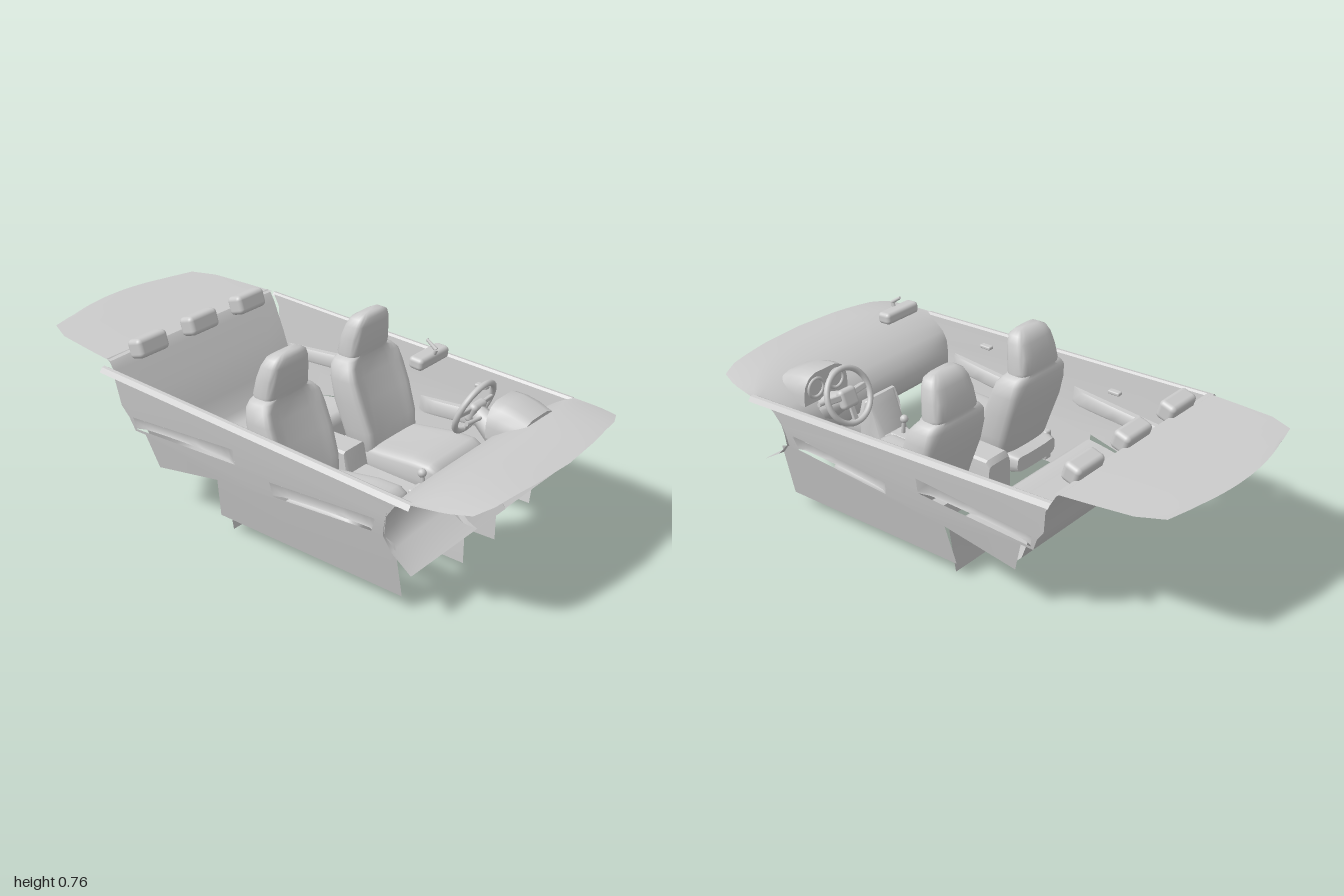
import * as THREE from 'three';
import { toCreasedNormals } from 'three/addons/utils/BufferGeometryUtils.js';
import { RoundedBoxGeometry } from 'three/addons/geometries/RoundedBoxGeometry.js';

const material = new THREE.MeshStandardMaterial({ color: 0xcccccc, side: THREE.DoubleSide });
const lerp = THREE.MathUtils.lerp;

// Skin a list of cross-sections (each a list of [x, y, z])
function loft(sections, { closed = false, capStart = false, capEnd = false, crease = 0.7 } = {}) {
  const n = sections[0].length, pos = sections.flat(2), index = [];
  for (let i = 0; i < sections.length - 1; i++) {
    for (let j = 0; j < (closed ? n : n - 1); j++) {
      const a = i * n + j, b = i * n + (j + 1) % n;
      index.push(a, b, a + n, b, b + n, a + n);
    }
  }
  const cap = (row, flip) => {
    const c = pos.length / 3, ring = sections[row];
    for (let k = 0; k < 3; k++) pos.push(ring.reduce((s, p) => s + p[k], 0) / n);
    for (let j = 0; j < n; j++) {
      const a = row * n + j, b = row * n + (j + 1) % n;
      index.push(c, flip ? b : a, flip ? a : b);
    }
  };
  if (capStart) cap(0, true);
  if (capEnd) cap(sections.length - 1, false);
  const g = new THREE.BufferGeometry();
  g.setAttribute('position', new THREE.Float32BufferAttribute(pos, 3));
  g.setIndex(index);
  return toCreasedNormals(g, crease);
}

// Rounded-rectangle ring as [a, b] pairs in -1..1
const ring = Array.from({ length: 28 }, (_, i) => {
  const t = (i / 28) * Math.PI * 2, f = (v) => Math.sign(v) * Math.abs(v) ** 0.5;
  return [f(Math.cos(t)), f(Math.sin(t))];
});
const steps = (n) => Array.from({ length: n + 1 }, (_, i) => i / n);

// Piecewise-linear lookup in [[x, value], ...]
const lookup = (table, x) => {
  const i = Math.max(1, table.findIndex(([k]) => x <= k + 1e-6));
  const [a, b] = [table[i - 1], table[i]];
  return lerp(a[1], b[1], (x - a[0]) / (b[0] - a[0]));
};

export function createModel() {
  const model = new THREE.Group();
  const add = (name, geometry, x = 0, y = 0, z = 0, parent = model) => {
    const m = new THREE.Mesh(geometry, material);
    m.name = name;
    m.position.set(x, y, z);
    parent.add(m);
    return m;
  };
  const rod = (name, a, b, r0, r1, sides = 10) => {
    const p = new THREE.Vector3(...a), d = new THREE.Vector3(...b).sub(p);
    const m = add(name, new THREE.CylinderGeometry(r1, r0, d.length(), sides));
    m.position.copy(p).addScaledVector(d, 0.5);
    m.quaternion.setFromUnitVectors(new THREE.Vector3(0, 1, 0), d.normalize());
  };

  // Dashboard: one sheet sloping back and down from the nose, then tucking forward
  const nose = [[0, 0.997], [0.18, 0.985], [0.36, 0.958], [0.43, 0.928], [0.46, 0.85], [0.48, 0.73]];
  // Rows: [z, y] at the middle, [z, y] at the sides, half width
  const dashRows = [[0.997, 0.485, 0.73, 0.455, 0.48], [0.88, 0.493, 0.725, 0.453, 0.476], [0.78, 0.482, 0.71, 0.445, 0.466],
    [0.7, 0.452, 0.68, 0.426, 0.457], [0.64, 0.415, 0.65, 0.405, 0.451], [0.6, 0.375, 0.628, 0.375, 0.447],
    [0.585, 0.33, 0.617, 0.33, 0.443], [0.585, 0.285, 0.612, 0.285, 0.44], [0.63, 0.24, 0.65, 0.24, 0.445],
    [0.73, 0.19, 0.73, 0.19, 0.452]];
  add('dashboard', loft(dashRows.map(([z0, y0, z1, y1, w], i) => steps(48).map((u) => {
    const s = Math.sin((u - 0.5) * Math.PI), k = s ** 4;
    return [w * s, lerp(y0, y1, k), i === 0 ? lookup(nose, Math.abs(w * s)) : lerp(z0, z1, k)];
  })), { crease: 1.2 }));

  // Gauge hood passing through the dashboard, dials, steering column and wheel
  const hood = [[0.61, 0.515, 0.108], [0.65, 0.513, 0.11], [0.7, 0.502, 0.108], [0.75, 0.482, 0.102]];
  add('gaugeHood', loft(hood.map(([z, top, w]) =>
    [[-1, 0], [1, 0], [1, 0.35], [0.93, 0.65], [0.75, 0.88], [0.45, 1], [-0.45, 1], [-0.75, 0.88], [-0.93, 0.65], [-1, 0.35]]
      .map(([p, q]) => [0.235 + p * w, lerp(0.4, top, q), z])),
  { closed: true, capStart: true, capEnd: true }));
  for (const dx of [-0.05, 0.05]) {
    add('dial', new THREE.TorusGeometry(0.036, 0.006, 8, 24), 0.235 + dx, 0.457, 0.608);
  }
  rod('steeringColumn', [0.23, 0.425, 0.51], [0.23, 0.355, 0.62], 0.032, 0.055, 8);
  rod('columnStalk', [0.235, 0.42, 0.545], [0.12, 0.43, 0.54], 0.006, 0.008, 8);
  rod('columnStalk', [0.235, 0.42, 0.545], [0.34, 0.43, 0.54], 0.006, 0.008, 8);
  const wheel = new THREE.Group();
  wheel.name = 'steeringWheel';
  wheel.position.set(0.232, 0.44, 0.497);
  wheel.rotation.x = 0.38;
  model.add(wheel);
  add('rim', new THREE.TorusGeometry(0.101, 0.011, 10, 40), 0, 0, 0, wheel);
  add('hub', new RoundedBoxGeometry(0.08, 0.075, 0.035, 3, 0.016), 0, -0.008, 0.01, wheel);
  for (const a of [0.1, Math.PI - 0.1, -Math.PI / 2]) {
    const spoke = add('spoke', new RoundedBoxGeometry(0.08, 0.024, 0.012, 2, 0.005),
      Math.cos(a) * 0.06, Math.sin(a) * 0.06, 0.005, wheel);
    spoke.rotation.z = a;
  }

  // Centre console: open channel [z, top, half width at top, half width at bottom]
  const tunnel = [[-0.01, 0.25, 0.055, 0.06], [0.005, 0.27, 0.057, 0.06], [0.16, 0.27, 0.058, 0.06],
    [0.18, 0.19, 0.055, 0.062], [0.42, 0.18, 0.055, 0.066], [0.5, 0.2, 0.06, 0.075],
    [0.55, 0.3, 0.068, 0.088], [0.57, 0.33, 0.075, 0.092], [0.6, 0.33, 0.08, 0.094], [0.69, 0.225, 0.08, 0.096]];
  add('centreConsole', loft(tunnel.map(([z, t, w, b]) => [
    [-b, 0.05, z], [-b, Math.min(t - 0.03, 0.22), z], [-w, t - 0.008, z], [-w + 0.01, t, z],
    [w - 0.01, t, z], [w, t - 0.008, z], [b, Math.min(t - 0.03, 0.22), z], [b, 0.05, z]]),
  { capStart: true, crease: 0.5 }));
  add('centreStack', loft([[0.33, 0.08, 0.61], [0.26, 0.105, 0.65], [0.215, 0.11, 0.7], [0.19, 0.1, 0.732]].map(([y, w, z]) =>
    [[-w, y, 0.57], [-w, y, z - 0.015], [-w + 0.015, y, z], [w - 0.015, y, z], [w, y, z - 0.015], [w, y, 0.57]]),
  { capStart: true, crease: 0.5 }));
  add('shifterBase', new RoundedBoxGeometry(0.07, 0.02, 0.08, 2, 0.008), 0, 0.195, 0.455);
  rod('shifter', [0, 0.19, 0.46], [0, 0.26, 0.45], 0.008, 0.008);
  add('shifterKnob', new THREE.SphereGeometry(0.016, 14, 10), 0, 0.265, 0.45);

  // Front seats: back sections [y, z, half width, half depth, bolster]
  const back = [[0.15, 0.12, 0.11, 0.05, 0], [0.2, 0.115, 0.138, 0.07, 0.03], [0.28, 0.095, 0.147, 0.075, 0.045],
    [0.38, 0.06, 0.156, 0.072, 0.05], [0.46, 0.035, 0.154, 0.064, 0.05], [0.505, 0.025, 0.146, 0.057, 0.045],
    [0.525, 0.022, 0.13, 0.05, 0.02], [0.534, 0.022, 0.108, 0.046, 0], [0.545, 0.022, 0.108, 0.05, 0],
    [0.6, 0.03, 0.102, 0.047, 0], [0.645, 0.04, 0.093, 0.042, 0], [0.672, 0.047, 0.079, 0.035, 0],
    [0.685, 0.053, 0.055, 0.018, 0]];
  // Cushion sections [z, bottom, top, half width]
  const cushion = [[0.46, 0.17, 0.21, 0.13], [0.45, 0.135, 0.235, 0.147], [0.42, 0.122, 0.25, 0.155],
    [0.34, 0.12, 0.25, 0.155], [0.22, 0.12, 0.235, 0.146], [0.08, 0.12, 0.22, 0.135], [0, 0.14, 0.2, 0.11]];
  for (const s of [-1, 1]) {
    const seat = new THREE.Group();
    seat.name = s > 0 ? 'leftSeat' : 'rightSeat';
    seat.position.x = s * 0.226;
    model.add(seat);
    add('backrestAndHeadrest', loft(back.map(([y, z, w, d, b]) =>
      ring.map(([p, q]) => [p * w, y, z + q * d + (q > 0 ? b * (Math.abs(p) ** 4 - 0.3) * q : 0)])),
    { closed: true, capStart: true, capEnd: true, crease: 0.9 }), 0, 0, 0, seat);
    add('cushion', loft(cushion.map(([z, lo, hi, w]) =>
      ring.map(([p, q]) => [p * w, (lo + hi) / 2 + q * (hi - lo) / 2 + (q > 0 ? 0.02 * p ** 4 * q : 0), z])),
    { closed: true, capStart: true, capEnd: true, crease: 0.9 }), 0, 0, 0, seat);
    add('seatSkirt', new RoundedBoxGeometry(0.035, 0.12, 0.36, 2, 0.008), s * 0.115, 0.155, 0.21, seat);
  }

  // Doors: panel outline in [z, y], leaning outward with height and toward the front
  const outline = [[0.75, 0.452], [0.66, 0.41], [0.625, 0.36], [0.61, 0.28], [0.65, 0.265], [0.65, 0.05],
    [-0.13, 0.06], [-0.11, 0.22], [-0.4, 0.165], [-0.44, 0.29], [-0.49, 0.29], [-0.51, 0.34],
    [-0.54, 0.38], [-0.555, 0.48], [-0.58, 0.52]];
  const slots = [[[0.58, 0.335], [0.14, 0.305], [0.15, 0.25], [0.56, 0.28]],
    [[-0.01, 0.38], [-0.49, 0.345], [-0.48, 0.3], [-0.01, 0.32]]];
  const toPath = (pts, Type) => new Type(pts.map((p) => new THREE.Vector2(...p)));
  const lean = (y, z) => 0.374 + 0.255 * (y - 0.05) - 0.187 * (y - 0.05) ** 2 + 0.014 * z;
  for (const s of [-1, 1]) {
    const door = new THREE.Group();
    door.name = s > 0 ? 'leftDoor' : 'rightDoor';
    model.add(door);
    const shape = toPath(outline, THREE.Shape);
    shape.holes = slots.map((h) => toPath(h, THREE.Path));
    const panel = new THREE.ShapeGeometry(shape), p = panel.attributes.position;
    for (let i = 0; i < p.count; i++) {
      const z = p.getX(i), y = p.getY(i);
      p.setXYZ(i, s * lean(y, z), y, z);
    }
    panel.computeVertexNormals();
    add('doorPanel', panel, 0, 0, 0, door);
    // Rolled sill along the top edge
    add('doorSill', loft(steps(10).map((t) => {
      const z = lerp(0.74, -0.59, t), y = lerp(0.453, 0.52, t), k = lerp(0, -0.015, t);
      return [[lean(y, z), y - 0.005], [0.468 + k, y + 0.006], [0.48 + k, y + 0.004], [0.492 + k, y - 0.012]]
        .map(([x, h]) => [s * x, h, z]);
    })), 0, 0, 0, door);
    // Armrest shell: inward from the slot's top edge, then down behind the opening
    for (const [a, b, c, d] of slots) {
      add('armrest', loft(steps(12).map((t) => {
        const z = lerp(a[0], b[0], t), y = lerp(a[1], b[1], t), low = lerp(d[1], c[1], t);
        const inset = 0.026 * Math.sin(Math.PI * t) ** 0.25;
        return [[0, y], [0.8, y - 0.001], [1, y - 0.01], [1, low + 0.008], [0.8, low]]
          .map(([f, h]) => [s * (lean(h, z) - f * inset), h, z]);
      })), 0, 0, 0, door);
      add('doorPull', new RoundedBoxGeometry(0.026, 0.014, 0.05, 2, 0.005),
        s * 0.425, 0.42, lerp(a[0], b[0], 0.4), door);
    }
  }

  // Rear bench: backrest, cushion and skirt in one sheet [z, y, half width]
  const bench = [[-0.6, 0.542, 0.43], [-0.585, 0.53, 0.43], [-0.568, 0.5, 0.43], [-0.505, 0.4, 0.41],
    [-0.45, 0.29, 0.395], [-0.42, 0.215, 0.388], [-0.39, 0.185, 0.385], [-0.3, 0.19, 0.385],
    [-0.18, 0.21, 0.383], [-0.125, 0.217, 0.382], [-0.105, 0.205, 0.38], [-0.1, 0.18, 0.375], [-0.1, 0, 0.345]];
  add('rearBench', loft(bench.map(([z, y, w]) => steps(8).map((u) => [w * (2 * u - 1), y, z])), { crease: 3 }));
  for (const x of [-0.263, 0, 0.263]) {
    add('rearHeadrest', new RoundedBoxGeometry(0.145, 0.072, 0.068, 4, 0.018), x, 0.552, -0.562).rotation.x = -0.3;
  }

  // Rear deck sheet [z, half width]
  const deck = [[-0.58, 0.432], [-0.7, 0.42], [-0.85, 0.402], [-0.94, 0.36], [-0.96, 0.28], [-0.965, 0.25]];
  add('rearDeck', loft(deck.map(([z, w], i) => steps(16).map((u) => {
    const c = 2 * u - 1;
    const bow = 0.035 * (i / 5) ** 2 * (1 - c * c);
    return [c * w, lerp(0.542, 0.561, (-0.58 - z) / 0.4) - 0.004 * c * c, z - bow];
  }))));

  // Rear-view mirror
  add('mirror', new RoundedBoxGeometry(0.16, 0.042, 0.055, 4, 0.014), 0, 0.696, 0.46).rotation.x = 0.08;
  rod('mirrorStem', [0, 0.7, 0.475], [0, 0.728, 0.488], 0.007, 0.007);
  rod('mirrorStem', [0, 0.728, 0.488], [0, 0.755, 0.45], 0.007, 0.005);
  return model;
}
